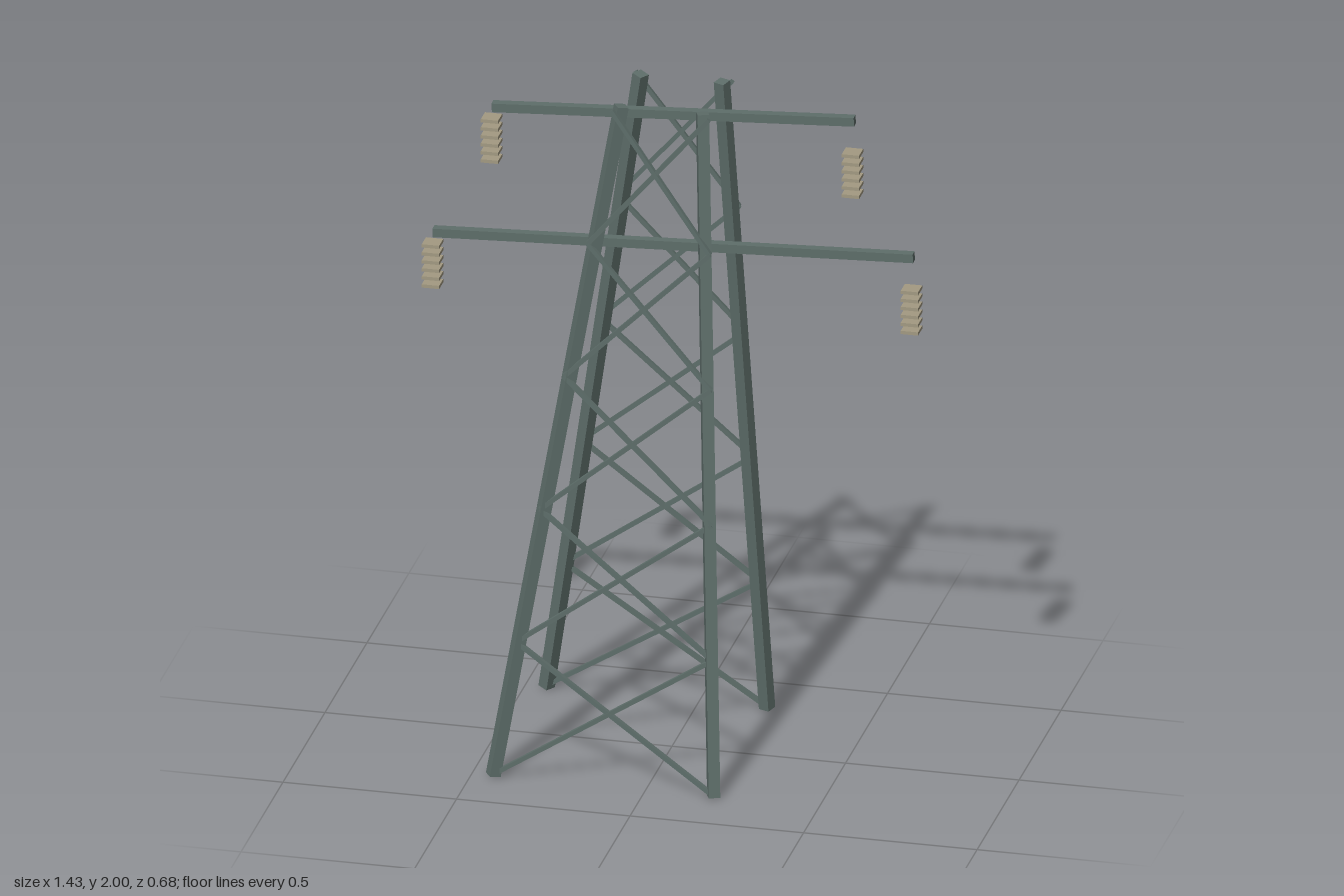
import * as THREE from 'three';

const steel = new THREE.MeshStandardMaterial({ color: 0x5e6e6a });
const ceramic = new THREE.MeshStandardMaterial({ color: 0xa39a82 });

// Square bar between two points
function beam(name, a, b, thickness) {
  const from = new THREE.Vector3(...a);
  const to = new THREE.Vector3(...b);
  const mesh = new THREE.Mesh(new THREE.BoxGeometry(thickness, thickness, from.distanceTo(to)), steel);
  mesh.name = name;
  mesh.position.copy(from).add(to).multiplyScalar(0.5);
  mesh.lookAt(to);
  return mesh;
}

// Hanging stack of square plates
function insulator(x, topY) {
  const stack = new THREE.Group();
  stack.name = 'insulator';
  const plate = new THREE.BoxGeometry(0.05, 0.01, 0.05);
  for (let i = 0; i < 6; i++) {
    const mesh = new THREE.Mesh(plate, ceramic);
    mesh.name = 'insulatorPlate';
    mesh.position.set(x, topY - i * 0.0245, 0);
    stack.add(mesh);
  }
  return stack;
}

export function createModel() {
  const tower = new THREE.Group();
  tower.name = 'powerTower';

  // Corner of the bracing at height y; the right side leans in more than the left
  const node = (side, face, y) => {
    const t = y / 2;
    const x = side < 0 ? THREE.MathUtils.lerp(-0.44, -0.14, t) : THREE.MathUtils.lerp(0.197, 0.14, t);
    return [x, THREE.MathUtils.lerp(0.006, 1.99, t), face * THREE.MathUtils.lerp(0.32, 0.14, t)];
  };

  for (const face of [-1, 1]) {
    // Legs
    tower.add(beam('leg', [-0.438, 0.004, face * 0.318], [-0.118, 1.996, face * 0.115], 0.033));
    tower.add(beam('leg', [0.197, 0.003, face * 0.318], [0.116, 1.997, face * 0.115], 0.033));

    // Crossed braces on the front and back
    for (let i = 0; i < 5; i++) {
      const low = i * 0.4;
      const high = low + 0.4;
      for (const side of [-1, 1]) {
        tower.add(beam('brace', node(side, face, low), node(-side, face, high), 0.0125));
      }
    }
  }

  // Sloping cross arms with an insulator at each end
  for (const [half, y] of [[0.687, 1.505], [0.517, 1.905]]) {
    tower.add(beam('crossArm', [-half, y, 0], [half, y + 0.045, -0.04], 0.026));
    for (const side of [-1, 1]) tower.add(insulator(side * (half + 0.003), y - 0.037));
  }

  return tower;
}
